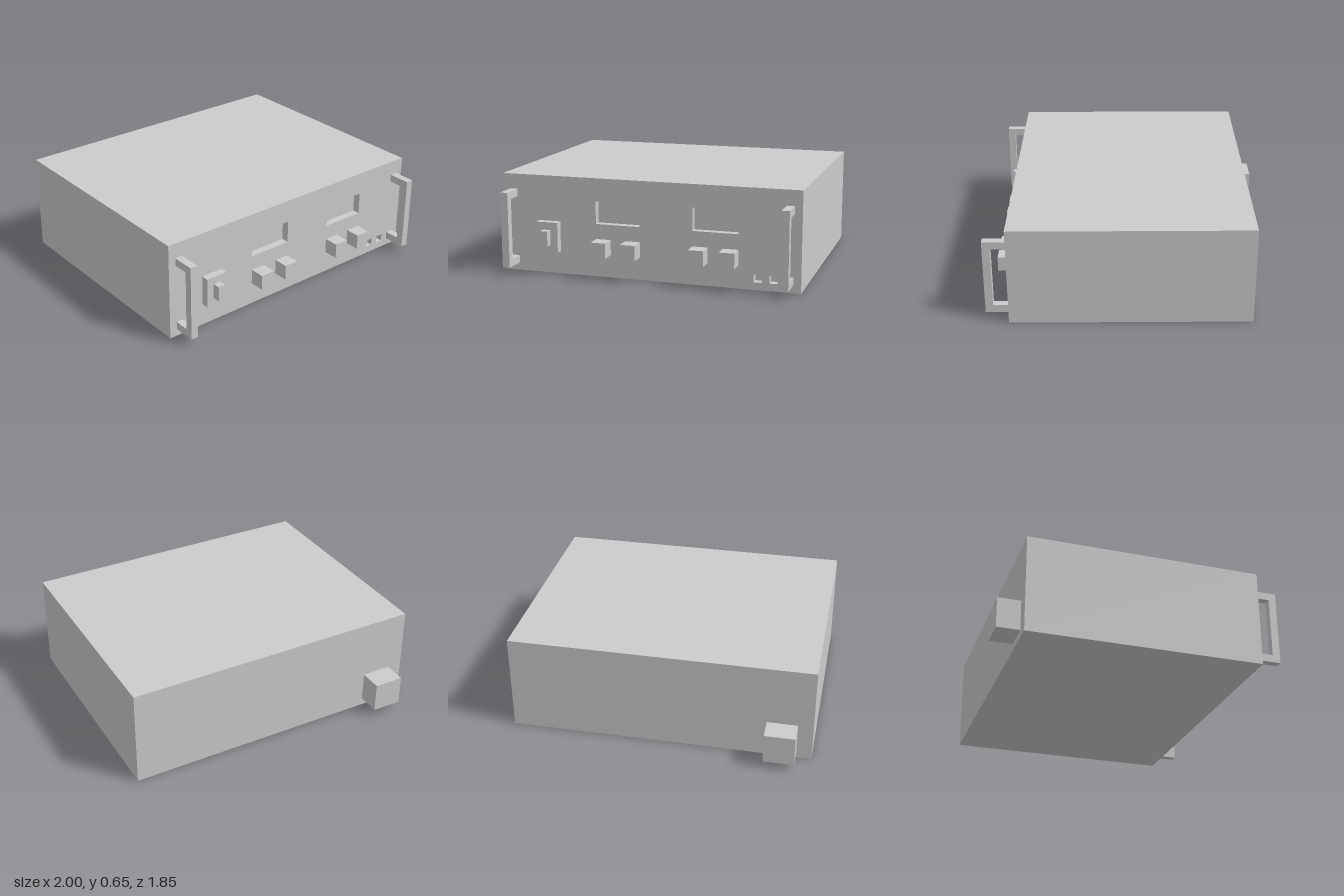
import * as THREE from 'three';

const FRONT = 0.775;   // front face of the cabinet
const RECESS = 0.05;   // depth of the windows and jacks

const material = new THREE.MeshStandardMaterial({ color: 0xcccccc, flatShading: true });

export function createModel() {
  const model = new THREE.Group();

  const add = (name, geometry) => {
    const mesh = new THREE.Mesh(geometry, material);
    mesh.name = name;
    model.add(mesh);
    return mesh;
  };

  // Box given by its lower and upper corners
  const box = (name, x0, y0, z0, x1, y1, z1) => {
    const mesh = add(name, new THREE.BoxGeometry(x1 - x0, y1 - y0, z1 - z0));
    mesh.position.set((x0 + x1) / 2, (y0 + y1) / 2, (z0 + z1) / 2);
    return mesh;
  };

  const rectangle = (Type, x, y, w, h) => new Type([
    new THREE.Vector2(x, y), new THREE.Vector2(x + w, y),
    new THREE.Vector2(x + w, y + h), new THREE.Vector2(x, y + h),
  ]);

  // Cabinet; its front forms the floor of the recesses
  box('cabinet', -1, 0, -FRONT, 1, 0.65, FRONT - RECESS);

  // Front panel with two display windows and two jack sockets
  const panel = rectangle(THREE.Shape, -1, 0, 2, 0.65);
  for (const x of [-0.35, 0.3]) panel.holes.push(rectangle(THREE.Path, x, 0.35, 0.3, 0.15));
  for (const x of [0.7, 0.8]) panel.holes.push(rectangle(THREE.Path, x, 0.05, 0.05, 0.05));
  add('frontPanel', new THREE.ExtrudeGeometry(panel, { depth: RECESS, bevelEnabled: false }))
    .position.z = FRONT - RECESS;

  // Control knobs
  [-0.35, -0.15, 0.3, 0.5].forEach((x, i) =>
    box(`knob${i + 1}`, x, 0.15, FRONT, x + 0.1, 0.25, FRONT + 0.1));

  // Power switch
  box('switchPlate', -0.75, 0.15, FRONT, -0.6, 0.35, FRONT + 0.05);
  box('switchLever', -0.7, 0.2, FRONT + 0.05, -0.65, 0.3, FRONT + 0.1);

  // Bracket handles: a C-shaped side profile extruded across x
  const profile = new THREE.Shape([
    [0, 0.05], [0.15, 0.05], [0.15, 0.55], [0, 0.55],
    [0, 0.5], [0.1, 0.5], [0.1, 0.1], [0, 0.1],
  ].map(([z, y]) => new THREE.Vector2(z, y)));
  const handle = new THREE.ExtrudeGeometry(profile, { depth: 0.05, bevelEnabled: false })
    .rotateY(-Math.PI / 2).translate(0.025, 0, FRONT);
  add('leftHandle', handle).position.x = 0.925;
  add('rightHandle', handle).position.x = -0.925;

  // Rear connector block
  box('rearConnector', -0.9, 0.05, -FRONT - 0.15, -0.7, 0.25, -FRONT);

  return model;
}
